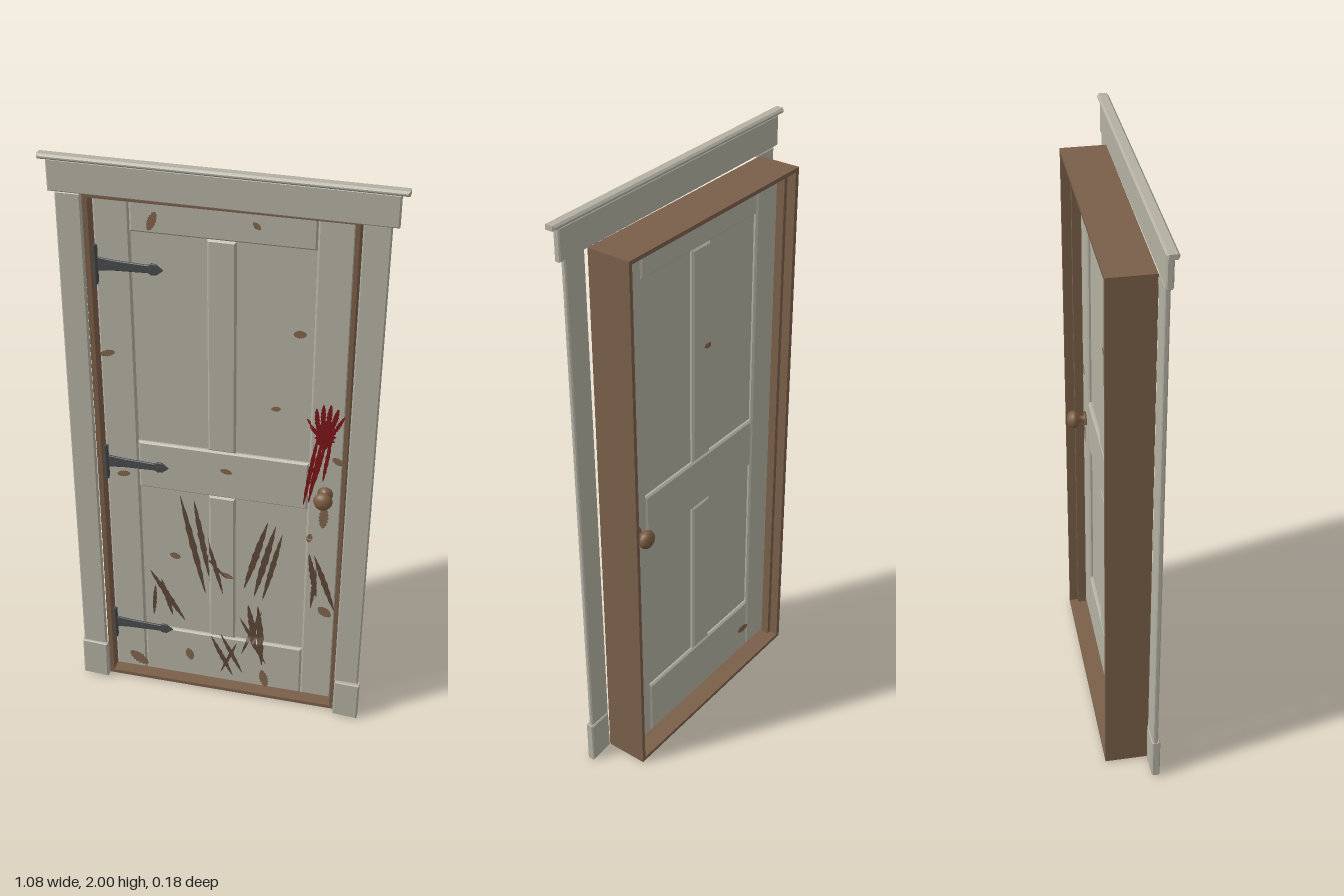
import * as THREE from 'three';
import { mergeGeometries } from 'three/addons/utils/BufferGeometryUtils.js';

const mat = (name, color, side = THREE.FrontSide) => {
  const m = new THREE.MeshStandardMaterial({ color, side });
  m.name = name;
  return m;
};

// Bevelled plate from an outline, spanning z0..z1
function plate(points, z0, z1, b = 0.004) {
  const shape = new THREE.Shape(points.map(([x, y]) => new THREE.Vector2(x, y)));
  const geo = new THREE.ExtrudeGeometry(shape, {
    depth: z1 - z0 - 2 * b, bevelEnabled: b > 0, bevelThickness: b,
    bevelSize: b, bevelOffset: -b, bevelSegments: 1,
  });
  return geo.translate(0, 0, z0 + b);
}
const slab = (x0, x1, y0, y1, z0, z1, b) =>
  plate([[x0, y0], [x1, y0], [x1, y1], [x0, y1]], z0, z1, b);

// Door layout
const FACE = 0.024, PANEL = 0.012;
const COLUMNS = [[-0.29, -0.055], [0.035, 0.275]];
const ROWS = [[0.225, 0.83], [1.01, 1.755]];
const within = (v, [a, b]) => v > a && v < b;
const surfaceZ = (x, y) =>
  COLUMNS.some(c => within(x, c)) && ROWS.some(r => within(y, r)) ? PANEL : FACE;

// Tapered painted mark that follows the door surface; side -1 lies on the back
function mark([x0, y0, x1, y1, width], lift, side = 1, round = 1) {
  const n = 18, pos = [], idx = [];
  const len = Math.hypot(x1 - x0, y1 - y0), nx = -(y1 - y0) / len, ny = (x1 - x0) / len;
  for (let i = 0; i <= n; i++) {
    const t = i / n;
    const w = width / 2 * Math.pow(Math.max(0, Math.sin(Math.PI * t)), round) * (1 + 0.18 * Math.sin(i * 2.3 + x0 * 40));
    for (const s of [1, -1]) {
      const x = x0 + (x1 - x0) * t + nx * w * s, y = y0 + (y1 - y0) * t + ny * w * s;
      pos.push(x, y, side * (surfaceZ(x, y) + lift));
    }
    if (i < n) {
      const a = i * 2;
      if (side > 0) idx.push(a, a + 1, a + 3, a, a + 3, a + 2);
      else idx.push(a, a + 3, a + 1, a, a + 2, a + 3);
    }
  }
  const geo = new THREE.BufferGeometry();
  geo.setAttribute('position', new THREE.Float32BufferAttribute(pos, 3));
  geo.setIndex(idx);
  geo.computeVertexNormals();
  return geo;
}

export function createModel() {
  const root = new THREE.Group();
  root.name = 'oldDoor';
  const paint = mat('weatheredPaint', 0xb3b0a2);
  const wood = mat('bareWood', 0x7a5f49);
  const iron = mat('darkIron', 0x484a4c);
  const brass = mat('agedBrass', 0x7a5c40);
  const chipped = mat('chippedWood', 0x80644c, THREE.DoubleSide);
  const gouge = mat('gougedWood', 0x5c4636, THREE.DoubleSide);
  const blood = mat('driedRed', 0x7a1518, THREE.DoubleSide);
  const add = (name, geo, material, parent = root) => {
    const m = new THREE.Mesh(geo, material);
    m.name = name;
    parent.add(m);
    return m;
  };

  // Jamb box with stop strips behind the door
  const B = -0.085, F = 0.06;
  add('leftSideJamb', slab(0.387, 0.40, 0.005, 1.88, B, F, 0), wood);
  add('rightSideJamb', slab(-0.42, -0.404, 0.005, 1.88, B, F, 0), wood);
  add('headJamb', slab(-0.404, 0.387, 1.867, 1.88, B, F, 0), wood);
  add('sill', slab(-0.404, 0.387, 0.005, 0.018, B, F, 0), wood);
  add('leftStop', slab(0.372, 0.387, 0.018, 1.867, -0.055, -0.027, 0), wood);
  add('rightStop', slab(-0.404, -0.389, 0.018, 1.867, -0.055, -0.027, 0), wood);
  add('headStop', slab(-0.389, 0.372, 1.852, 1.867, -0.055, -0.027, 0), wood);

  // Slightly crooked casing around the front
  add('rightCasing', plate([[-0.505, 0.155], [-0.422, 0.155], [-0.418, 1.885], [-0.497, 1.885]], F, 0.077), paint);
  add('leftCasing', plate([[0.402, 0.155], [0.484, 0.155], [0.492, 1.885], [0.41, 1.885]], F, 0.077), paint);
  add('rightPlinth', plate([[-0.51, 0.008], [-0.42, 0.004], [-0.418, 0.157], [-0.508, 0.161]], 0.057, 0.085), paint);
  add('leftPlinth', plate([[0.402, 0.005], [0.489, 0], [0.49, 0.153], [0.404, 0.157]], 0.057, 0.085), paint);
  add('header', plate([[-0.517, 1.885], [0.512, 1.877], [0.512, 1.977], [-0.517, 1.985]], 0.059, 0.081), paint);
  add('headerCap', plate([[-0.54, 1.984], [0.535, 1.976], [0.535, 1.992], [-0.54, 2]], 0.054, 0.09, 0.006), paint);

  // Door leaf: stiles, rails and sunken panels
  const door = new THREE.Group();
  door.name = 'doorLeaf';
  root.add(door);
  const timber = (name, x0, x1, y0, y1) =>
    add(name, slab(x0, x1, y0, y1, -FACE, FACE, 0.006), paint, door);
  timber('hingeStile', -0.402, -0.29, 0.02, 1.863);
  timber('lockStile', 0.275, 0.385, 0.02, 1.863);
  timber('bottomRail', -0.29, 0.275, 0.02, 0.225);
  timber('lockRail', -0.29, 0.275, 0.83, 1.01);
  timber('topRail', -0.29, 0.275, 1.755, 1.863);
  for (const [y0, y1] of ROWS) {
    timber('middleStile', -0.055, 0.035, y0, y1);
    for (const [x0, x1] of COLUMNS)
      add('panel', slab(x0, x1, y0, y1, -PANEL, PANEL, 0), paint, door);
  }

  // Strap hinges with pointed ends
  for (const y of [1.64, 0.92, 0.225]) {
    const hinge = new THREE.Group();
    hinge.name = 'hinge';
    hinge.position.set(0, y, 0);
    root.add(hinge);
    const half = [[-0.40, 0.023], [-0.34, 0.017], [-0.235, 0.013], [-0.225, 0.02], [-0.21, 0.018]];
    const strap = [...half.map(([x, v]) => [x, -v]), [-0.188, 0], ...half.slice().reverse()];
    add('strap', plate(strap, FACE - 0.001, FACE + 0.007, 0.002), iron, hinge);
    add('hingePlate', slab(-0.404, -0.392, -0.062, 0.062, FACE - 0.002, FACE + 0.009, 0.002), iron, hinge);
    add('hingePin', new THREE.CylinderGeometry(0.007, 0.007, 0.13, 10).translate(-0.398, 0, FACE + 0.009), iron, hinge);
    for (const x of [-0.365, -0.30, -0.225])
      add('rivet', new THREE.CylinderGeometry(0.004, 0.005, 0.004, 8).rotateX(Math.PI / 2).translate(x, 0, FACE + 0.008), iron, hinge);
  }

  // Knobs on both faces
  const knobProfile = [[0, 0], [0.026, 0], [0.024, 0.005], [0.011, 0.008], [0.01, 0.022], [0.022, 0.029],
    [0.03, 0.039], [0.031, 0.047], [0.026, 0.058], [0.014, 0.065], [0, 0.067]].map(p => new THREE.Vector2(...p));
  for (const side of [1, -1]) {
    const knob = add(side > 0 ? 'frontKnob' : 'backKnob', new THREE.LatheGeometry(knobProfile, 20), brass);
    knob.rotation.x = side * Math.PI / 2;
    knob.position.set(0.332, 0.905, side * (FACE - 0.001));
  }

  // Paint chips: start, end, width
  const chips = [
    [-0.232, 1.765, -0.208, 1.828, 0.026], [0.085, 1.825, 0.108, 1.805, 0.018], [0.21, 1.467, 0.252, 1.472, 0.026],
    [-0.402, 1.322, -0.352, 1.338, 0.022], [0.147, 1.192, 0.178, 1.197, 0.018], [0.35, 1.046, 0.384, 1.024, 0.024],
    [-0.015, 0.942, 0.026, 0.934, 0.02], [-0.366, 0.87, -0.32, 0.88, 0.022], [0.328, 0.765, 0.333, 0.855, 0.03],
    [0.283, 0.70, 0.29, 0.736, 0.02], [-0.195, 0.555, -0.157, 0.545, 0.026], [-0.015, 0.515, 0.03, 0.498, 0.02],
    [0.327, 0.43, 0.37, 0.395, 0.036], [-0.35, 0.09, -0.285, 0.04, 0.042], [-0.133, 0.148, -0.122, 0.095, 0.03],
    [0.135, 0.10, 0.15, 0.022, 0.03]];
  const backChips = [[-0.06, 1.405, -0.02, 1.412, 0.018], [0.35, 1.07, 0.355, 1.115, 0.026],
    [0.345, 0.795, 0.35, 0.88, 0.03], [-0.295, 0.108, -0.235, 0.118, 0.028]];
  add('paintChips', mergeGeometries([
    ...chips.map(c => mark(c, 0.0015, 1, 0.55)), ...backChips.map(c => mark(c, 0.0015, -1, 0.55))]), chipped);

  // Claw scratches in groups
  const scratches = [
    [-0.155, 0.81, -0.07, 0.40, 0.022], [-0.108, 0.80, -0.055, 0.47, 0.02], [-0.06, 0.65, -0.005, 0.42, 0.016],
    [-0.07, 0.58, 0.01, 0.49, 0.01],
    [0.145, 0.75, 0.065, 0.45, 0.022], [0.172, 0.74, 0.10, 0.42, 0.022], [0.195, 0.71, 0.13, 0.41, 0.018],
    [-0.27, 0.475, -0.145, 0.265, 0.022], [-0.228, 0.44, -0.19, 0.28, 0.018], [-0.25, 0.41, -0.26, 0.27, 0.014],
    [0.288, 0.655, 0.318, 0.47, 0.02], [0.305, 0.65, 0.383, 0.42, 0.02], [0.315, 0.60, 0.30, 0.42, 0.014],
    [0.08, 0.385, 0.112, 0.19, 0.022], [0.115, 0.385, 0.135, 0.12, 0.024], [0.13, 0.36, 0.06, 0.16, 0.014],
    [0.05, 0.32, 0.15, 0.13, 0.016],
    [-0.05, 0.225, 0.03, 0.05, 0.018], [-0.015, 0.24, 0.065, 0.07, 0.016], [0.045, 0.21, -0.015, 0.06, 0.012]];
  add('clawScratches', mergeGeometries(scratches.map(s => mark(s, 0.002, 1, 0.8))), gouge);

  // Smeared handprint: palm, fingers, thumb and drag streaks
  const smear = [
    [0.318, 1.075, 0.33, 1.185, 0.062], [0.30, 1.14, 0.293, 1.225, 0.015], [0.315, 1.15, 0.315, 1.242, 0.016],
    [0.33, 1.15, 0.338, 1.245, 0.016], [0.343, 1.15, 0.362, 1.232, 0.016], [0.345, 1.13, 0.382, 1.205, 0.012],
    [0.31, 1.115, 0.262, 1.175, 0.014],
    [0.302, 1.13, 0.262, 0.85, 0.014], [0.316, 1.12, 0.278, 0.86, 0.014], [0.328, 1.11, 0.29, 0.92, 0.012],
    [0.345, 1.13, 0.322, 0.95, 0.012]];
  add('redHandprint', mergeGeometries(smear.map(s => mark(s, 0.003, 1, 0.6))), blood);

  return root;
}
